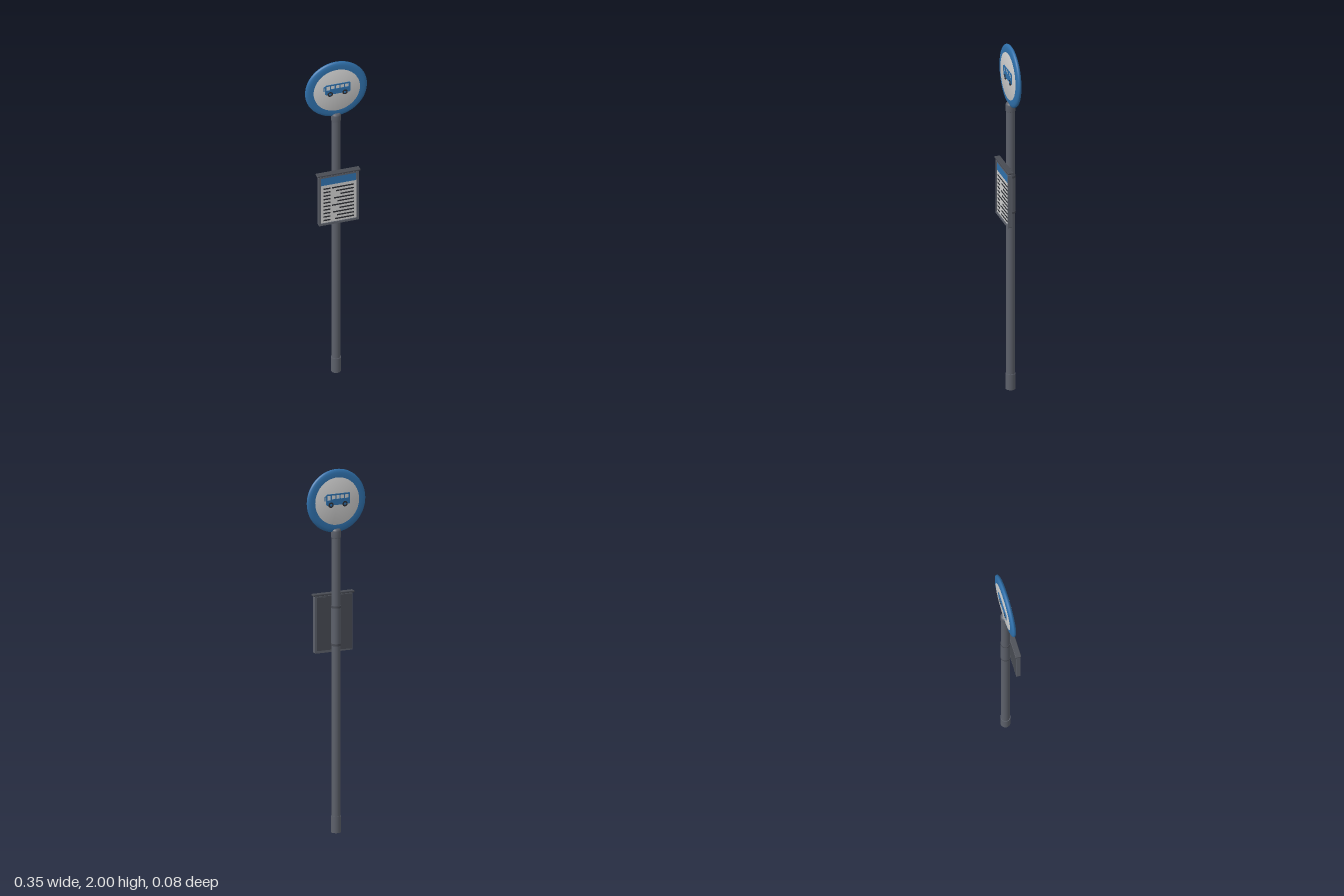
import * as THREE from 'three';
import { RoundedBoxGeometry } from 'three/addons/geometries/RoundedBoxGeometry.js';

const mat = (color) => new THREE.MeshStandardMaterial({ color });
const GREY = mat(0x5c606a), DARK = mat(0x484b53), BLUE = mat(0x2f70ab);
const WHITE = mat(0xd8d8d8), INK = mat(0x2c2e33);
const POLE_Z = -0.0135, SIGN_Y = 1.827;

function add(parent, name, geometry, material, x = 0, y = 0, z = 0) {
  const mesh = new THREE.Mesh(geometry, material);
  mesh.name = name;
  mesh.position.set(x, y, z);
  parent.add(mesh);
  return mesh;
}

const lathe = (pts, segments = 32) =>
  new THREE.LatheGeometry(pts.map(([r, y]) => new THREE.Vector2(r, y)), segments);

// Rectangle outline, optionally with a chamfered corner
function rect(Type, x0, y0, x1, y1, c = 0.002) {
  const path = new Type();
  path.moveTo(x0 + c, y0);
  path.lineTo(x1 - c, y0);
  path.lineTo(x1, y0 + c);
  path.lineTo(x1, y1 - c);
  path.lineTo(x1 - c, y1);
  path.lineTo(x0 + c, y1);
  path.lineTo(x0, y1 - c);
  path.lineTo(x0, y0 + c);
  path.closePath();
  return path;
}

const extrude = (shape, depth) => new THREE.ExtrudeGeometry(shape, { depth, bevelEnabled: false });

// Pole with foot sleeve, top collar and the clamp sleeve behind the board
function makePole() {
  const pole = new THREE.Group();
  pole.name = 'pole';
  pole.position.z = POLE_Z;
  add(pole, 'shaft', new THREE.CylinderGeometry(0.024, 0.024, 1.65, 32), GREY, 0, 0.825);
  add(pole, 'footSleeve', new THREE.CylinderGeometry(0.027, 0.027, 0.09, 32), GREY, 0, 0.045);
  add(pole, 'clampSleeve', new THREE.CylinderGeometry(0.0255, 0.0255, 0.2, 32), GREY, 0, 1.14);
  for (const y of [1.035, 1.243])
    add(pole, 'clampBand', new THREE.CylinderGeometry(0.0262, 0.0262, 0.012, 32), DARK, 0, y);
  add(pole, 'topCollar', lathe([
    [0.024, 1.622], [0.027, 1.626], [0.027, 1.66], [0.025, 1.668], [0.019, 1.674], [0, 1.676],
  ]), GREY);
  return pole;
}

// Bus symbol, lying on a plane with its front towards -x
function makeBus() {
  const bus = new THREE.Group();
  bus.name = 'busSymbol';
  const body = rect(THREE.Shape, -0.066, -0.02, 0.075, 0.042, 0.005);
  body.holes.push(rect(THREE.Path, -0.06, 0.008, -0.04, 0.034));
  for (let i = 0; i < 4; i++) {
    const x = -0.033 + i * 0.026;
    body.holes.push(rect(THREE.Path, x, 0.013, x + 0.021, 0.034));
  }
  add(bus, 'busBody', extrude(body, 0.003), BLUE);
  add(bus, 'busMirror', extrude(rect(THREE.Shape, -0.076, 0.005, -0.07, 0.032), 0.003), BLUE);
  add(bus, 'mirrorArm', extrude(rect(THREE.Shape, -0.074, 0.028, -0.06, 0.034, 0.001), 0.003), BLUE);
  for (const x of [-0.038, 0.045]) {
    const wheel = new THREE.CylinderGeometry(0.015, 0.015, 0.0036, 24).rotateX(Math.PI / 2);
    add(bus, 'busWheel', wheel, INK, x, -0.018, 0.0018);
    const hub = new THREE.CylinderGeometry(0.007, 0.007, 0.004, 20).rotateX(Math.PI / 2);
    add(bus, 'busHub', hub, BLUE, x, -0.018, 0.002);
  }
  return bus;
}

// Round two-sided sign
function makeSign() {
  const sign = new THREE.Group();
  sign.name = 'roundSign';
  sign.position.set(0, SIGN_Y, POLE_Z);
  const half = [[0.12, -0.0125], [0.135, -0.0135], [0.155, -0.0128], [0.166, -0.0095], [0.172, -0.005]];
  const profile = [...half, [0.174, 0], ...half.map(([r, y]) => [r, -y]).reverse()];
  add(sign, 'signRim', lathe(profile, 64).rotateX(Math.PI / 2), BLUE);
  const face = [[0, -0.0155], [0.13, -0.0155], [0.13, 0.0155], [0, 0.0155]];
  add(sign, 'signFace', lathe(face, 64).rotateX(Math.PI / 2), WHITE);
  for (const angle of [0, Math.PI]) {
    const side = new THREE.Group();
    side.name = angle ? 'backSymbol' : 'frontSymbol';
    side.rotation.y = angle;
    const bus = makeBus();
    bus.position.z = 0.0153;
    side.add(bus);
    sign.add(side);
  }
  return sign;
}

// Timetable board with frame, header, printed rows and a small roof
function makeBoard() {
  const board = new THREE.Group();
  board.name = 'timetableBoard';
  add(board, 'backPlate', new THREE.BoxGeometry(0.216, 0.306, 0.014), DARK, 0, 1.145, 0.021);
  const frame = rect(THREE.Shape, -0.113, 0.988, 0.113, 1.302, 0.004);
  frame.holes.push(rect(THREE.Path, -0.1, 1.001, 0.1, 1.293, 0.001));
  add(board, 'frame', extrude(frame, 0.022), GREY, 0, 0, 0.014);
  add(board, 'paper', new THREE.BoxGeometry(0.2, 0.244, 0.004), WHITE, 0, 1.122, 0.029);
  add(board, 'header', new THREE.BoxGeometry(0.196, 0.048, 0.005), BLUE, 0, 1.267, 0.029);
  add(board, 'roof', new RoundedBoxGeometry(0.243, 0.011, 0.032, 2, 0.003), DARK, 0, 1.309, 0.023);

  const lengths = [0.122, 0.1, 0.075, 0.11, 0.09, 0.122, 0.08, 0.115, 0.095, 0.105];
  lengths.forEach((length, i) => {
    const y = 1.22 - i * 0.0225;
    add(board, 'timeMark', new THREE.BoxGeometry(0.038, 0.008, 0.002), INK, -0.066, y, 0.0315);
    add(board, 'stopLine', new THREE.BoxGeometry(length, 0.008, 0.002), INK, 0.085 - length / 2, y, 0.0315);
  });
  return board;
}

export function createModel() {
  const model = new THREE.Group();
  model.name = 'busStopSign';
  model.add(makePole(), makeSign(), makeBoard());
  return model;
}
